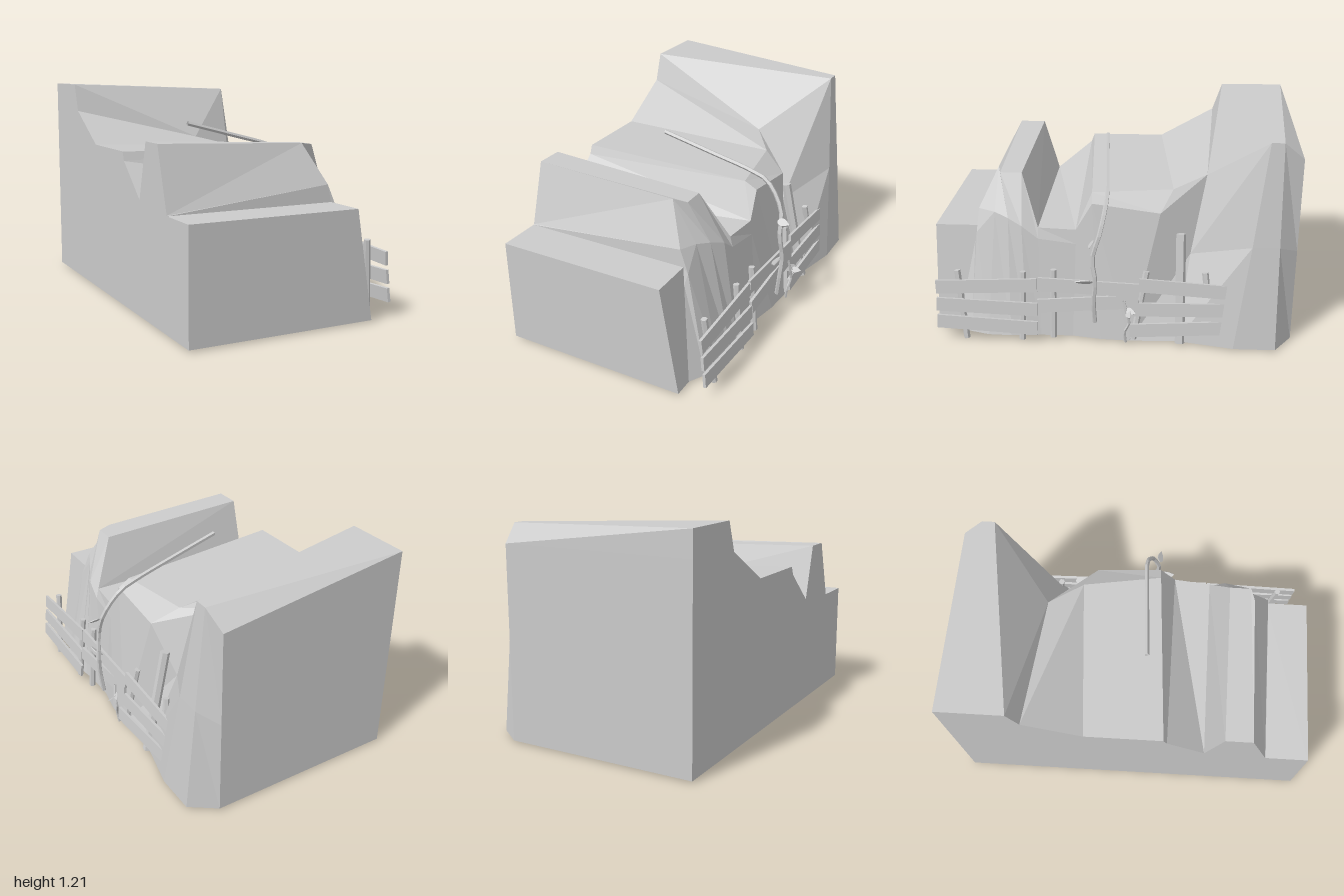
import * as THREE from 'three';

const V = (x, y, z) => new THREE.Vector3(x, y, z);
const grey = (options = {}) => new THREE.MeshStandardMaterial({ color: 0xcccccc, flatShading: true, ...options });

function addMesh(parent, name, geometry, material) {
  const mesh = new THREE.Mesh(geometry, material);
  mesh.name = name;
  parent.add(mesh);
  return mesh;
}

// Rock: cross-sections from front to back, joined in a loop
const BACK_X = -0.63, BASE_Y = 0.015;
// [back z, back y], [ridge x, y, z], [shoulder x, y, z], [foot x, z]
const SECTIONS = [
  [[1, 0.61], [0.32, 0.61, 1], [0.335, 0.52, 1], [0.42, 1]],
  [[0.76, 0.61], [0.32, 0.61, 0.76], [0.335, 0.52, 0.78], [0.42, 0.89]],
  [[0.757, 0.612], [0.3, 0.705, 0.755], [0.35, 0.58, 0.765], [0.47, 0.8]],
  [[0.65, 0.95], [0.2, 0.92, 0.65], [0.34, 0.7, 0.66], [0.5, 0.7]],
  [[0.6, 0.95], [0.275, 0.91, 0.63], [0.38, 0.68, 0.58], [0.505, 0.57]],
  [[0.5, 0.95], [0.275, 0.91, 0.51], [0.42, 0.65, 0.5], [0.5, 0.48]],
  [[0.41, 0.64], [0.41, 0.64, 0.41], [0.425, 0.58, 0.41], [0.49, 0.4]],
  [[0.195, 0.82], [0.43, 0.64, 0.2], [0.44, 0.56, 0.2], [0.49, 0.22]],
  [[0.175, 0.87], [0.35, 0.83, 0.115], [0.42, 0.79, 0.11], [0.52, 0.06]],
  [[-0.26, 0.87], [0.28, 0.83, -0.33], [0.42, 0.74, -0.26], [0.53, -0.1]],
  [[-0.58, 1.05], [0.14, 0.87, -0.52], [0.36, 0.48, -0.43], [0.52, -0.36]],
  [[-0.635, 1.21], [0.48, 1.165, -0.82], [0.535, 0.6, -0.75], [0.59, -0.67]],
  [[-1, 1.21], [0.48, 1.165, -0.89], [0.535, 0.6, -0.895], [0.59, -0.9]],
  [[-1, 1.07], [0.45, 1.07, -1], [0.45, 0.55, -1], [0.45, -1]],
];

function rockGeometry() {
  const rings = SECTIONS.map(([back, ridge, shoulder, foot]) => [
    [BACK_X, BASE_Y, back[0]], [BACK_X, back[1], back[0]], ridge, shoulder, [foot[0], BASE_Y, foot[1]],
  ]);
  const positions = [];
  const tri = (a, b, c) => positions.push(...a, ...b, ...c);
  for (let i = 0; i < rings.length - 1; i++) {
    for (let k = 0; k < 5; k++) {
      const n = (k + 1) % 5;
      const a = rings[i][k], b = rings[i][n], c = rings[i + 1][n], d = rings[i + 1][k];
      if (i === 9 || i === 10) { tri(a, b, d); tri(b, c, d); } // hollow below the tall block
      else { tri(a, b, c); tri(a, c, d); }
    }
  }
  const first = rings[0], last = rings[rings.length - 1];
  for (let k = 1; k < 4; k++) {
    tri(first[0], first[k + 1], first[k]);
    tri(last[0], last[k], last[k + 1]);
  }
  const geometry = new THREE.BufferGeometry();
  geometry.setAttribute('position', new THREE.Float32BufferAttribute(positions, 3));
  geometry.computeVertexNormals();
  return geometry;
}

// Round post between two points
function addPost(parent, bottom, top, radius) {
  const dir = top.clone().sub(bottom);
  const post = addMesh(parent, 'fencePost', new THREE.CylinderGeometry(radius, radius, dir.length(), 6), grey());
  post.position.copy(bottom).lerp(top, 0.5);
  post.quaternion.setFromUnitVectors(V(0, 1, 0), dir.normalize());
}

// Plank between two points, leaning back with the posts
function addPlank(parent, from, to) {
  const dir = to.clone().sub(from);
  const plank = addMesh(parent, 'fencePlank', new THREE.BoxGeometry(0.016, 0.076, dir.length()), grey());
  plank.position.copy(from).lerp(to, 0.5);
  const zAxis = dir.normalize();
  const xAxis = V(-0.1, 1, 0).cross(zAxis).normalize();
  const yAxis = zAxis.clone().cross(xAxis);
  plank.quaternion.setFromRotationMatrix(new THREE.Matrix4().makeBasis(xAxis, yAxis, zAxis));
}

function addStem(parent, name, points, segments, radius) {
  const curve = new THREE.CatmullRomCurve3(points, false, 'centripetal');
  addMesh(parent, name, new THREE.TubeGeometry(curve, segments, radius, 5), grey({ side: THREE.DoubleSide }));
}

// Pointed leaf growing from its base along dir, facing normal
function addLeaf(parent, base, dir, normal, size) {
  const shape = new THREE.Shape();
  shape.moveTo(0, 0);
  shape.bezierCurveTo(0.1, 0.4, 0.5, 0.4, 1, 0);
  shape.bezierCurveTo(0.5, -0.4, 0.1, -0.4, 0, 0);
  const geometry = new THREE.ExtrudeGeometry(shape, { depth: 0.06, bevelEnabled: false, curveSegments: 5 });
  const leaf = addMesh(parent, 'leaf', geometry, grey());
  const x = dir.normalize();
  const y = normal.cross(x).normalize();
  const z = x.clone().cross(y);
  leaf.quaternion.setFromRotationMatrix(new THREE.Matrix4().makeBasis(x, y, z));
  leaf.position.copy(base);
  leaf.scale.setScalar(size);
}

export function createModel() {
  const model = new THREE.Group();
  model.name = 'cliffWithFence';
  addMesh(model, 'rock', rockGeometry(), grey());

  // Fence
  const fence = new THREE.Group();
  fence.name = 'fence';
  model.add(fence);
  // [bottom z, top z, bottom y, top y, top x, radius]
  for (const [z0, z1, y0, y1, x1, r] of [
    [0.815, 0.855, 0.01, 0.41, 0.49, 0.018],
    [0.5, 0.49, 0.01, 0.41, 0.49, 0.018],
    [0.325, 0.32, 0.03, 0.43, 0.5, 0.018],
    [-0.12, -0.19, 0.03, 0.42, 0.475, 0.018],
    [-0.38, -0.375, 0.01, 0.615, 0.4, 0.027],
    [-0.56, -0.51, 0.03, 0.42, 0.475, 0.018],
  ]) addPost(fence, V(0.53, y0, z0), V(x1, y1, z1), r);
  // [front z, front y, back z, back y]
  for (const [z0, y0, z1, y1] of [
    [0.97, 0.325, 0.41, 0.348],
    [0.97, 0.225, 0.41, 0.205],
    [0.97, 0.125, 0.41, 0.095],
    [0.405, 0.355, -0.155, 0.33],
    [0.405, 0.228, -0.15, 0.268],
    [-0.15, 0.362, -0.665, 0.328],
    [-0.11, 0.22, -0.655, 0.227],
    [-0.1, 0.095, -0.655, 0.125],
  ]) addPlank(fence, V(0.565 - 0.1 * y0, y0, z0), V(0.565 - 0.1 * y1, y1, z1));

  // Vine hanging over the edge, and a small plant by the fence
  const plants = new THREE.Group();
  plants.name = 'plants';
  model.add(plants);
  addStem(plants, 'vine', [
    V(-0.19, 1.0, 0.06), V(0.1, 0.925, 0.045), V(0.36, 0.855, 0.03), V(0.45, 0.815, 0.03), V(0.55, 0.67, 0.06),
    V(0.565, 0.53, 0.1), V(0.58, 0.4, 0.085), V(0.575, 0.28, 0.095), V(0.56, 0.145, 0.09),
  ], 24, 0.013);
  addStem(plants, 'plantStem', [
    V(0.55, 0.02, -0.08), V(0.56, 0.09, -0.075), V(0.57, 0.15, -0.1), V(0.57, 0.21, -0.085), V(0.56, 0.28, -0.07),
  ], 10, 0.008);
  addLeaf(plants, V(0.55, 0.625, 0.1), V(1, -0.1, 0.1), V(0, 0.7, 0.7), 0.075);
  addLeaf(plants, V(0.56, 0.385, 0.1), V(0.2, 0.1, 1), V(-0.65, 0.75, 0), 0.1);
  addLeaf(plants, V(0.57, 0.215, -0.09), V(1, -0.1, -0.3), V(0.2, 0.7, 0.6), 0.06);
  addLeaf(plants, V(0.565, 0.23, -0.08), V(0.3, -0.2, -0.8), V(0.8, 0.5, 0), 0.06);
  return model;
}
